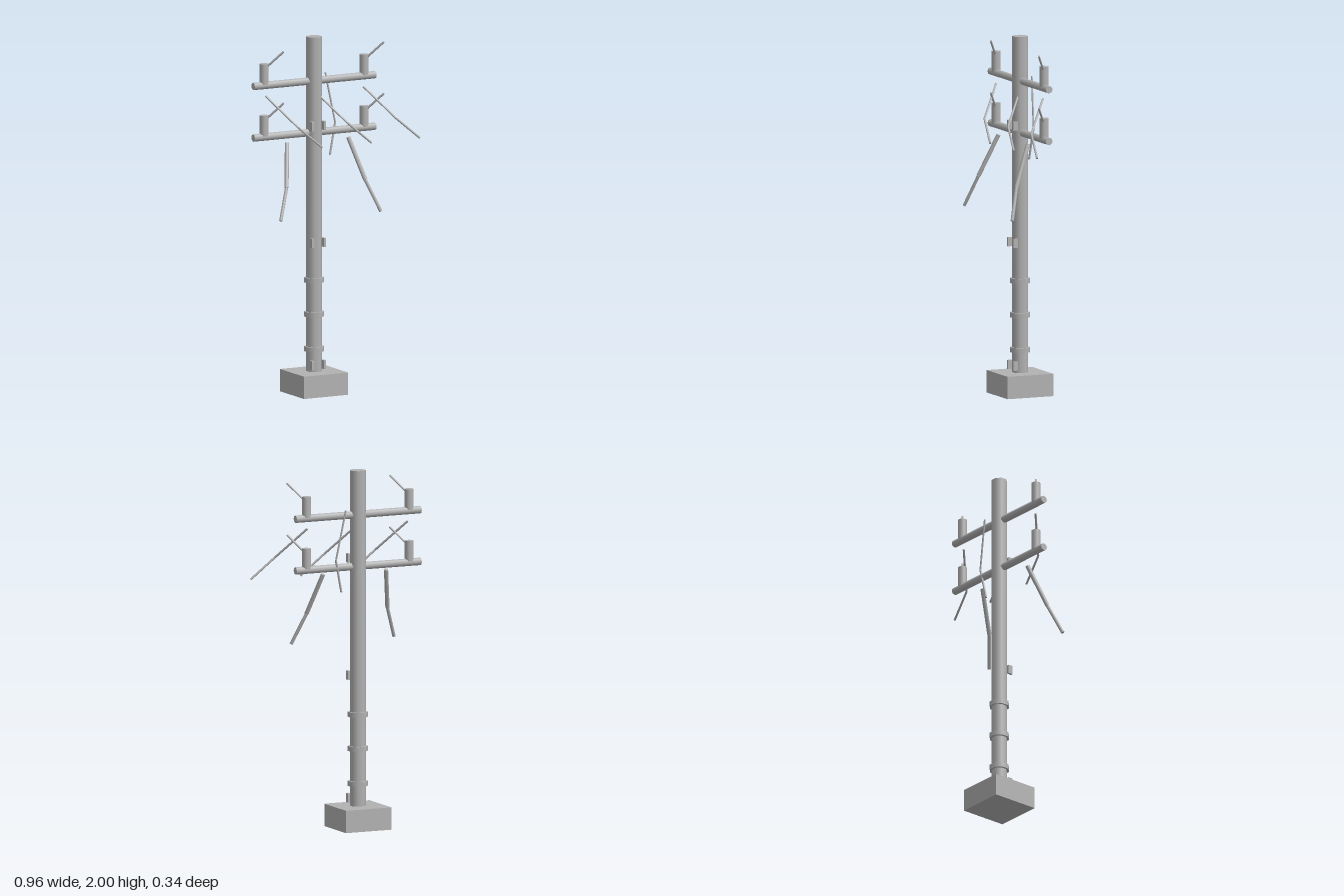
import * as THREE from 'three';

const PX = -0.1, PZ = -0.033; // pole axis

export function createModel() {
  const model = new THREE.Group();
  const grey = new THREE.MeshStandardMaterial({ color: 0xb2b2b2 });
  grey.name = 'weathered grey';

  const add = (name, geometry, x, y, z) => {
    const mesh = new THREE.Mesh(geometry, grey);
    mesh.name = name;
    mesh.position.set(x, y, z);
    model.add(mesh);
    return mesh;
  };
  const octagon = (r, h) => new THREE.CylinderGeometry(r, r, h, 8).rotateY(Math.PI / 8);

  // Round rod between two points
  const rod = (name, a, b, r) => {
    const from = new THREE.Vector3(...a), to = new THREE.Vector3(...b);
    const dir = to.clone().sub(from);
    const mid = from.clone().add(to).multiplyScalar(0.5);
    const mesh = add(name, new THREE.CylinderGeometry(r, r, dir.length(), 8), mid.x, mid.y, mid.z);
    mesh.quaternion.setFromUnitVectors(new THREE.Vector3(0, 1, 0), dir.normalize());
  };
  // Chain of rods through a list of points
  const chain = (name, points, radii) => {
    for (let i = 0; i < points.length - 1; i++) rod(name, points[i], points[i + 1], radii[i]);
  };

  // Footing and pole
  add('footing', new THREE.BoxGeometry(0.277, 0.125, 0.277), PX, 0.0625, PZ);
  add('pole', octagon(0.044, 1.89), PX, 1.055, PZ);
  for (const y of [0.25, 0.445, 0.636]) add('collar', octagon(0.056, 0.028), PX, y, PZ);

  // Paired cleats on the front of the pole
  for (const y of [0.165, 0.85, 1.505])
    for (const s of [-1, 1])
      add('cleat', new THREE.BoxGeometry(0.014, 0.05, 0.028), PX + s * 0.037, y, 0.012);

  // Crossarms, insulators and their slanted pins
  for (const y of [1.752, 1.463]) {
    rod('crossarm', [-0.483, y, PZ], [0.283, y, PZ], 0.021);
    for (const x of [-0.415, 0.215]) {
      add('insulator', octagon(0.025, 0.115), x, y + 0.064, PZ);
      rod('insulatorPin', [x, y + 0.09, PZ], [x + 0.085, y + 0.193, 0.038], 0.006);
    }
  }

  // Three hanging wires in front
  for (const dx of [0, 0.31, 0.615])
    chain('hangingWire', [
      [-0.407 + dx, 1.693, -0.03], [-0.272 + dx, 1.523, 0.103], [-0.138 + dx, 1.406, 0.13],
    ], [0.006, 0.006]);

  // Loose wire behind the pole
  chain('rearWire', [[-0.012, 1.785, -0.064], [0.042, 1.505, -0.05], [0.004, 1.325, -0.04]], [0.005, 0.006]);

  // Mirrored thick drooping cables
  for (const s of [-1, 1])
    chain('droopingCable', [
      [PX + s * 0.193, 1.425, 0.008], [PX + s * 0.248, 1.195, 0.104], [PX + s * 0.315, 1.022, 0.16],
    ], [0.012, 0.0095]);

  return model;
}
